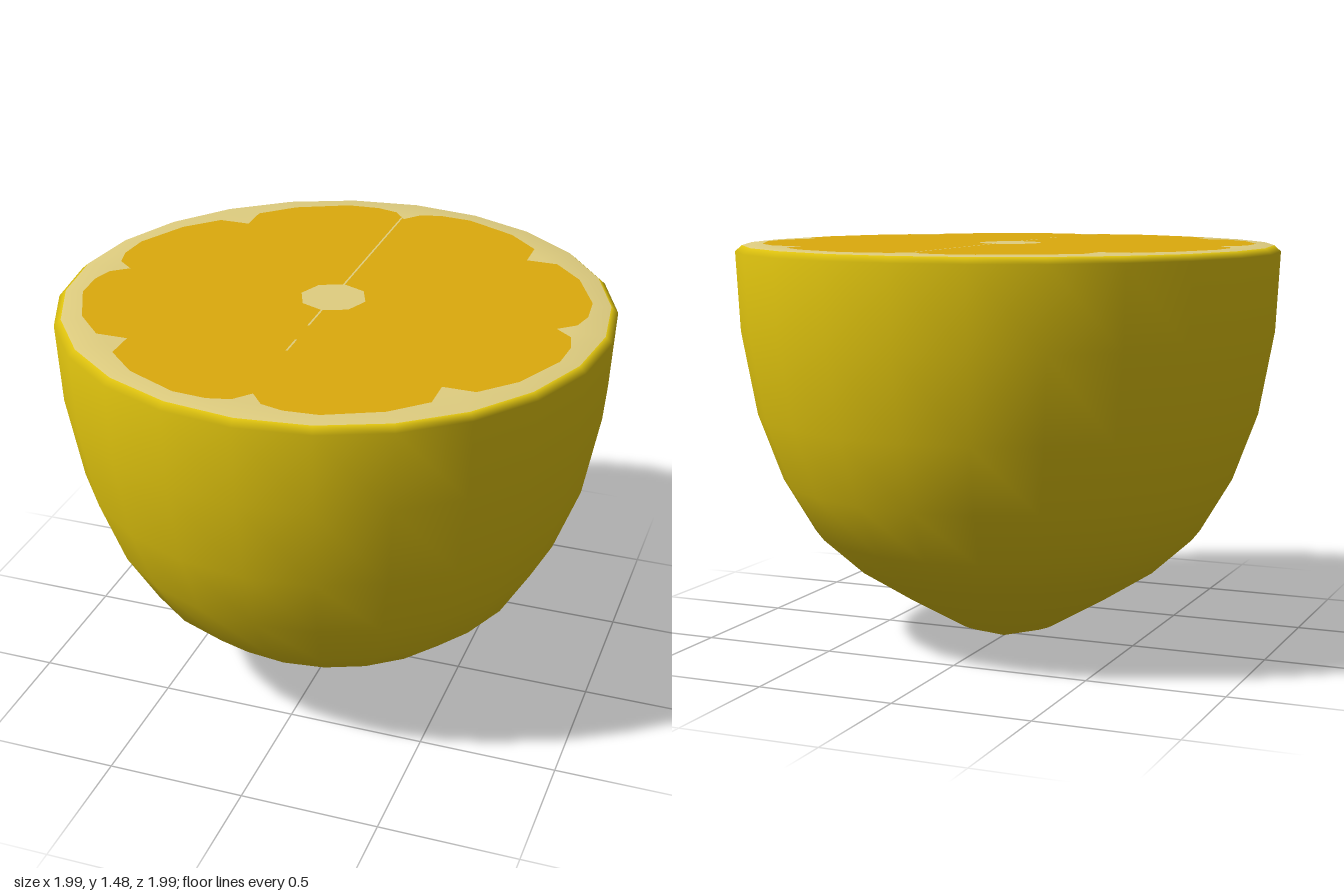
import * as THREE from 'three';

export function createModel() {
  const group = new THREE.Group();
  group.name = 'halfFruit';
  const mat = (name, color) => {
    const m = new THREE.MeshStandardMaterial({ color });
    m.name = name;
    return m;
  };
  const peel = mat('yellow peel', 0xe6c90f);
  const pith = mat('pale pith', 0xe0ce80);
  const flesh = mat('orange flesh', 0xdcaa0d);
  const add = (name, geometry, material) => {
    const mesh = new THREE.Mesh(geometry, material);
    mesh.name = name;
    group.add(mesh);
    return mesh;
  };

  // Peel and pith: one smooth turned body, coloured by profile band
  const profile = [
    [0, 0], [0.19, 0.05], [0.38, 0.16], [0.57, 0.28], [0.72, 0.415], [0.835, 0.61],
    [0.925, 0.855], [0.98, 1.16], [0.995, 1.45], [0.97, 1.472], [0.85, 1.472], [0, 1.472],
  ].map(([r, y]) => new THREE.Vector2(r, y));
  const sides = 24, bands = profile.length - 1, peelBands = 9;
  const body = new THREE.LatheGeometry(profile, sides);
  for (let i = 0; i < sides; i++) {
    const start = i * bands * 6;
    body.addGroup(start, peelBands * 6, 0);
    body.addGroup(start + peelBands * 6, (bands - peelBands) * 6, 1);
  }
  // The tip sits slightly towards the back
  const pos = body.attributes.position;
  for (let i = 0; i < pos.count; i++) if (pos.getY(i) < 0.01) pos.setZ(i, -0.04);
  add('peelAndPith', body, [peel, pith]);

  // Flesh: scalloped outline made from one mirrored eighth, with a core hole
  const eighth = [[0.8, 0], [0.86, 0.05], [0.88, 0.13], [0.87, 0.25], [0.78, 0.44], [0.67, 0.555], [0.555, 0.555]];
  const quarter = [...eighth, ...eighth.slice(1, -1).reverse().map(([a, b]) => [b, a])];
  const outline = [];
  for (let q = 0; q < 4; q++) {
    for (const [a, b] of quarter) {
      outline.push(new THREE.Vector2(a, b).rotateAround(new THREE.Vector2(), q * Math.PI / 2));
    }
  }
  const shape = new THREE.Shape(outline);
  const core = [];
  for (let i = 0; i < 8; i++) {
    const a = -i * Math.PI / 4;
    core.push(new THREE.Vector2(0.12 * Math.cos(a) - 0.01, 0.12 * Math.sin(a)));
  }
  shape.holes.push(new THREE.Path(core));
  const fleshMesh = add('flesh', new THREE.ShapeGeometry(shape), flesh);
  fleshMesh.rotation.x = -Math.PI / 2;
  fleshMesh.position.y = 1.476;

  // Thin membrane showing between the segments
  for (const [z0, z1] of [[-0.81, -0.11], [0.11, 0.26], [0.38, 0.47]]) {
    const line = add('membrane', new THREE.PlaneGeometry(0.007, z1 - z0), pith);
    line.rotation.x = -Math.PI / 2;
    line.position.set(-0.01, 1.478, (z0 + z1) / 2);
  }
  return group;
}
